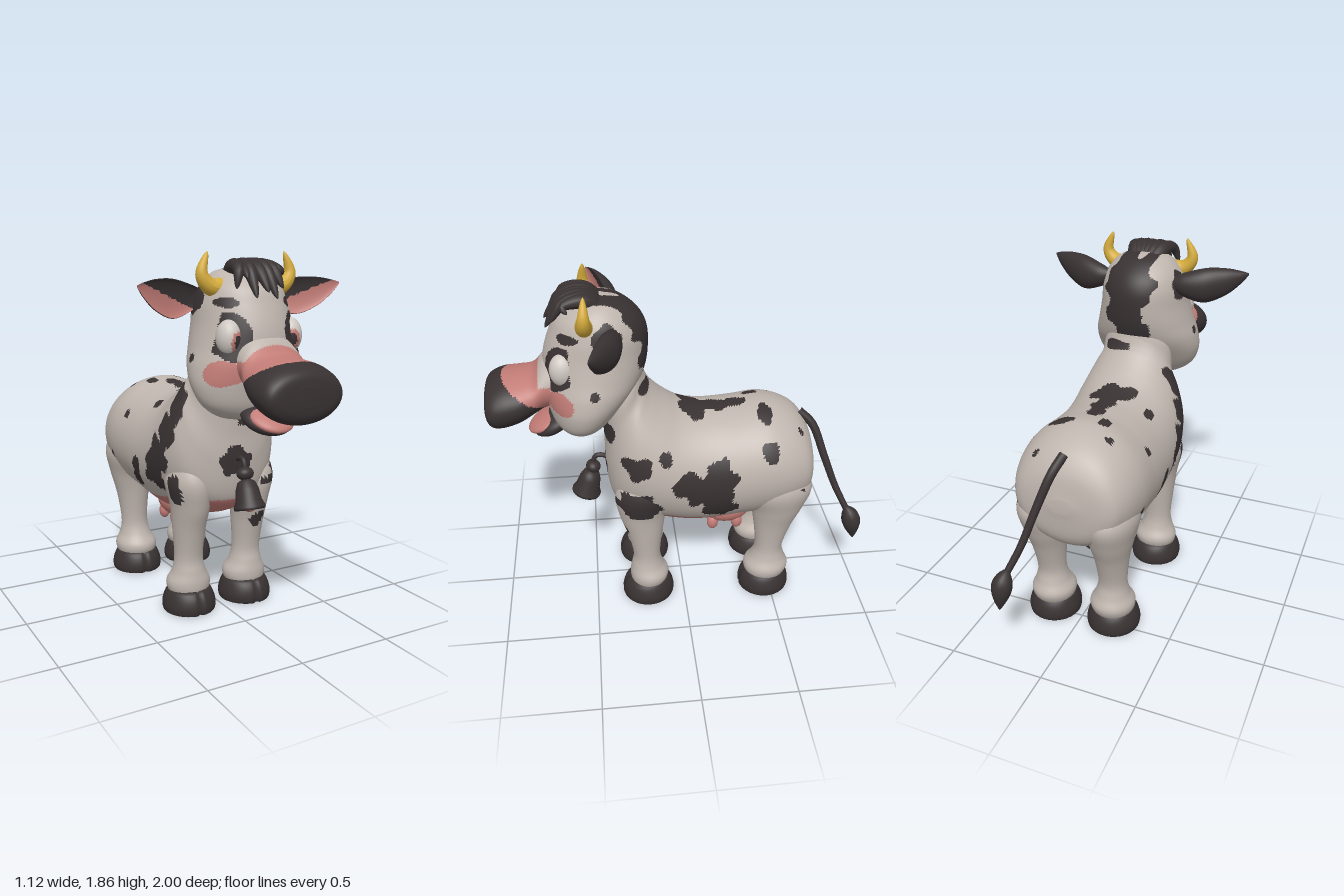
import * as THREE from 'three';

const mat = (name, color) => Object.assign(new THREE.MeshStandardMaterial({ color }), { name });
const V = (x, y, z) => new THREE.Vector3(x, y, z);

// Ellipse rings swept through sections [zA, yA, zB, yB, halfWidth, xCentre], capped at both ends
function loft(sections, rings, sides) {
  const a = new THREE.CatmullRomCurve3(sections.map(s => V(s[5] || 0, s[1], s[0])), false, 'catmullrom');
  const b = new THREE.CatmullRomCurve3(sections.map(s => V(s[4], s[3], s[2])), false, 'catmullrom');
  const pos = [], idx = [];
  for (let i = 0; i <= rings; i++) {
    const A = a.getPoint(i / rings), B = b.getPoint(i / rings);
    for (let j = 0; j < sides; j++) {
      const t = j / sides * Math.PI * 2, k = (1 + Math.sin(t)) / 2;
      pos.push(A.x + Math.cos(t) * B.x, A.y + (B.y - A.y) * k, A.z + (B.z - A.z) * k);
    }
  }
  for (let i = 0; i < rings; i++) for (let j = 0; j < sides; j++) {
    const p = i * sides + j, q = i * sides + (j + 1) % sides;
    idx.push(p, q, p + sides, q, q + sides, p + sides);
  }
  [0, rings].forEach((r, e) => {
    const s = sections[e ? sections.length - 1 : 0], c = pos.length / 3;
    pos.push(s[5] || 0, (s[1] + s[3]) / 2, (s[0] + s[2]) / 2);
    for (let j = 0; j < sides; j++) {
      const p = r * sides + j, q = r * sides + (j + 1) % sides;
      e ? idx.push(p, q, c) : idx.push(q, p, c);
    }
  });
  // turn the faces outward whichever way the sections run
  let vol = 0;
  const P = i => V(pos[3 * i], pos[3 * i + 1], pos[3 * i + 2]);
  for (let i = 0; i < idx.length; i += 3) vol += P(idx[i]).dot(P(idx[i + 1]).cross(P(idx[i + 2])));
  if (vol < 0) idx.reverse();
  const g = new THREE.BufferGeometry();
  g.setAttribute('position', new THREE.Float32BufferAttribute(pos, 3));
  g.setIndex(idx);
  g.computeVertexNormals();
  return g;
}

// Sorts triangles into material groups: rule(centre, normal) gives the material's index
function paint(g, rule) {
  const p = g.attributes.position, ix = g.index.array, bins = [[], [], []];
  const t = new THREE.Triangle(), c = V(), n = V();
  for (let i = 0; i < ix.length; i += 3) {
    t.setFromAttributeAndIndices(p, ix[i], ix[i + 1], ix[i + 2]);
    t.getMidpoint(c); t.getNormal(n);
    bins[rule(c, n)].push(ix[i], ix[i + 1], ix[i + 2]);
  }
  g.setIndex(bins.flat());
  let start = 0;
  bins.forEach((b, m) => { if (b.length) g.addGroup(start, b.length, m); start += b.length; });
  return g;
}

// Tube whose radius follows a rule
function taper(points, radius, seg = 20, sides = 14) {
  const path = new THREE.CatmullRomCurve3(points.map(p => V(...p)));
  const g = new THREE.TubeGeometry(path, seg, 1, sides), p = g.attributes.position, v = V();
  for (let i = 0; i < p.count; i++) {
    const t = Math.floor(i / (sides + 1)) / seg, c = path.getPointAt(t);
    v.fromBufferAttribute(p, i).sub(c).multiplyScalar(radius(t)).add(c);
    p.setXYZ(i, v.x, v.y, v.z);
  }
  g.computeVertexNormals();
  return g;
}

const ball = (x, y, z, rx, ry, rz, tilt = 0) =>
  new THREE.SphereGeometry(1, 32, 20).scale(rx, ry, rz).rotateX(tilt).translate(x, y, z);

// Coat markings as wobbly ellipses [u, v, ru, rv]
const hit = (list, u, v) => list.some(([a, b, ra, rb]) =>
  ((u - a) / ra) ** 2 + ((v - b) / rb) ** 2 < 1 + 0.25 * Math.sin(47 * u + 31 * v) + 0.2 * Math.sin(33 * u - 61 * v));
const LEFT = [[.25, .94, .075, .07], [.105, .995, .035, .04], [-.02, 1.1, .035, .03], [-.01, .83, .09, .08],
  [-.17, .87, .09, .1], [-.17, .7, .1, .1], [-.08, .78, .1, .08], [.245, .69, .11, .085], [-.44, 1, .042, .06],
  [.195, 1.31, .03, .03], [.39, 1.07, .035, .06], [-.62, 1.04, .018, .016], [-.62, .74, .02, .008]];
const RIGHT = [[.23, 1.12, .06, .1], [.2, .98, .08, .09], [.14, .84, .09, .1], [.08, .73, .09, .09],
  [.27, .68, .05, .08], [-.12, .72, .04, .07], [-.16, .64, .05, .04], [-.3, .98, .025, .025], [-.45, .72, .02, .02]];
const TOP = [[0, -.28, .045, .06], [0, -.17, .06, .08], [.02, -.06, .11, .07], [-.06, -.03, .06, .05], [.12, -.43, .06, .04],
  [-.09, -.38, .03, .045], [-.16, -.49, .02, .02], [-.21, -.08, .025, .035], [.17, -.62, .015, .015]];
const FRONT = [[0, .83, .09, .075]];

export function createModel() {
  const hide = mat('hide', 0xbfb5ae), dark = mat('darkCoat', 0x393233), pink = mat('pinkSkin', 0xc27c76);
  const yellow = mat('horn', 0xd4ab3c), white = mat('eyeWhite', 0xcfc8c2), black = mat('nostril', 0x1b1718);
  const coat = [hide, dark, pink], cow = new THREE.Group();
  cow.name = 'cow';
  const add = (name, geo, m, parent = cow) => {
    const mesh = new THREE.Mesh(geo, m);
    mesh.name = name;
    parent.add(mesh);
    return mesh;
  };

  // Barrel and neck in one sweep
  add('body', paint(loft([[-.722, .79, -.72, .86, .06], [-.695, .63, -.685, 1, .23], [-.62, .55, -.6, 1.1, .3],
    [-.48, .5, -.45, 1.155, .335], [-.28, .475, -.28, 1.14, .335], [-.08, .455, -.12, 1.135, .33],
    [.1, .48, 0, 1.16, .325], [.27, .53, .09, 1.22, .315], [.375, .62, .15, 1.28, .29], [.41, .8, .175, 1.32, .25],
    [.41, .98, .19, 1.36, .205], [.42, 1.12, .21, 1.42, .19], [.46, 1.2, .27, 1.5, .15]], 150, 110), ({ x, y, z }, n) => {
    const line = .575 + .015 * Math.sin(z * 14) - Math.max(0, -.2 - z) * .4;
    if (z > -.39 && y < line && z < .3 || z >= .3 && y < .62 && Math.abs(x) < .13) return 2;
    if (n.y > .62 && z < .08) return +hit(TOP, x, z);
    if (n.z > .7 && Math.abs(x) < .16 && y < 1) return +hit(FRONT, x, y);
    return +hit(x > 0 ? LEFT : RIGHT, z, y);
  }), coat);

  // Legs as [zBack, zFront, y, halfWidth, xCentre]
  const fore = [[.16, .3, .85, .05, .2], [.07, .37, .72, .11, .19], [.1, .355, .58, .098, .178], [.12, .315, .45, .085, .178],
    [.135, .285, .3, .076, .176], [.12, .295, .22, .09, .174], [.09, .305, .16, .118, .172], [.1, .3, .11, .11, .172], [.13, .27, .08, .08, .172]];
  const hind = [[-.6, -.45, .85, .06, .2], [-.7, -.32, .72, .13, .19], [-.665, -.37, .58, .115, .182], [-.61, -.395, .45, .09, .178],
    [-.567, -.41, .3, .076, .176], [-.58, -.39, .22, .09, .174], [-.605, -.353, .16, .118, .172], [-.59, -.36, .11, .11, .172], [-.56, -.4, .08, .08, .172]];
  for (const s of [1, -1]) for (const [kind, rows, mid] of [['front', fore, .206], ['rear', hind, -.468]]) {
    const leg = loft(rows.map(([a, b, y, w, x]) => [a, y, b, y, w, s * x]), 48, 32);
    add(kind + 'Leg', paint(leg, ({ x, y, z }, n) => {
      if (kind === 'front' && s > 0 && n.z > 0 && hit([[.185, .47, .04, .045]], x, y)) return 1;
      return +(n.x * s > -.2 && hit(s > 0 ? LEFT : RIGHT, z, y));
    }), coat);
    // Hoof with a cleft pressed into its front
    const hoof = loft([[.13, 0, .13], [.142, .006, .138], [.146, .04, .142], [.135, .085, .13], [.11, .118, .11], [.07, .125, .07]]
      .map(([r, y, w]) => [mid - r, y, mid + r, y, w, s * .172]), 15, 48);
    const p = hoof.attributes.position;
    for (let i = 0; i < p.count; i++)
      if (p.getZ(i) > mid + .05 && Math.abs(p.getX(i) - s * .172) < .008) p.setZ(i, p.getZ(i) - .016);
    hoof.computeVertexNormals();
    add(kind + 'Hoof', hoof, dark);
  }

  // Udder and teats
  add('udder', ball(0, .455, -.26, .105, .095, .145), pink);
  for (const x of [-.055, .055]) for (const z of [-.18, -.32])
    add('teat', ball(x, .375, z, .03, .045, .032), pink);

  // Skull and cheeks
  const head = new THREE.Group();
  head.name = 'head';
  cow.add(head);
  add('skull', paint(loft([[.46, 1.068, .55, 1.068, .05], [.42, 1.09, .62, 1.09, .17], [.36, 1.15, .665, 1.15, .255],
    [.29, 1.24, .69, 1.24, .293], [.22, 1.33, .705, 1.33, .29], [.18, 1.42, .7, 1.42, .264], [.165, 1.52, .685, 1.52, .24],
    [.17, 1.62, .65, 1.62, .225], [.21, 1.7, .61, 1.7, .195], [.29, 1.765, .52, 1.765, .13], [.37, 1.785, .45, 1.785, .04]], 110, 120),
  ({ x, y, z }) => {
    const ax = Math.abs(x);
    if (z > .56 && ((ax - .17) / .083) ** 2 + ((y - 1.475) / .112) ** 2 < 1) return 1;
    if (z > .5 && hit([[.16, 1.63, .042, .022]], ax, y)) return 1;
    if (ax > .14 && ((z - .615) / .068) ** 2 + ((y - 1.31) / .06) ** 2 < 1) return 2;
    if (ax > .2 && hit([[.44, 1.37, .022, .022]], z, y)) return 1;
    if (ax > .14 && hit([[.37, 1.63, .07, .07]], z, y)) return 1;
    if (z < .42 && y > 1.3 && hit([[.02, 1.66, .13, .15], [.04, 1.5, .11, .12], [-.02, 1.4, .08, .09]], x, y)) return 1;
    return 0;
  }), coat, head);

  // Muzzle: dark nose pad with a pink saddle
  add('muzzle', paint(loft([[.52, 1.2, .52, 1.5, .17], [.62, 1.2, .62, 1.51, .165], [.69, 1.205, .69, 1.475, .165],
    [.75, 1.18, .75, 1.41, .185], [.82, 1.14, .82, 1.395, .207], [.9, 1.113, .9, 1.388, .215], [.96, 1.115, .96, 1.365, .205],
    [.99, 1.15, .99, 1.335, .165], [1, 1.2, 1, 1.285, .07]], 72, 72), ({ y, z }) =>
    z > .92 - 1.45 * (1.395 - y) && z > .66 ? 1 : z > .72 || (z > .66 && y < 1.37) ? 2 : 0), coat, head);
  for (const s of [1, -1]) add('nostril', ball(s * .112, 1.27, .982, .024, .029, .012), black, head);

  // Open mouth
  add('lowerJaw', ball(0, 1.1, .665, .13, .055, .125, .5), dark, head);
  add('tongue', ball(0, 1.105, .7, .112, .035, .115, .5), pink, head);

  for (const s of [1, -1]) {
    // Eyes looking forward
    add('eye', paint(ball(s * .167, 1.47, .592, .06, .085, .066), ({ x, y, z }) => {
      const d = ((s * x - .15) / .036) ** 2 + ((y - 1.452) / .052) ** 2;
      return z < .6 || d > 1 ? 0 : d > .36 ? 2 : 1;
    }), [white, dark, pink], head);

    // Horns
    add('horn', taper([[s * .13, 1.69, .47], [s * .2, 1.7, .475], [s * .243, 1.755, .475], [s * .212, 1.86, .47]],
      t => .05 * Math.pow(1.002 - t, .6), 28, 20), yellow, head);

    // Cupped leaf-shaped ears
    const ear = loft([[.17, 1.62, .17, 1.68, .03, -.35], [.25, 1.575, .25, 1.71, .06, -.36], [.35, 1.55, .35, 1.735, .07, -.385],
      [.45, 1.59, .45, 1.735, .052, -.42], [.52, 1.65, .52, 1.722, .028, -.445], [.56, 1.7, .56, 1.71, .004, -.46]], 40, 36).rotateY(Math.PI / 2);
    const p = ear.attributes.position;
    for (let i = 0; i < p.count; i++) {
      const zc = .35 + Math.max(0, p.getX(i) - .2) * .31, dz = p.getZ(i) - zc;
      if (dz > 0) p.setZ(i, zc - dz * .35);
    }
    ear.computeVertexNormals();
    const earMesh = add('ear', paint(ear, ({ x, y }, n) => n.z > .25 && x > .22 && y < 1.6 + (x - .24) * .42 ? 2 : 1), coat, head);
    earMesh.scale.x = s;
  }

  // Forelock
  for (const [x, y, z] of [[-.13, 1.69, .6], [-.06, 1.65, .665], [0, 1.675, .67], [.05, 1.645, .665], [.1, 1.69, .635], [.15, 1.75, .55], [-.09, 1.74, .63]])
    add('forelock', taper([[x * .3, 1.72, .4], [x * .55, 1.785, .47], [x * .8, 1.775, .57], [x, y, z]],
      t => .052 * Math.pow(1.002 - t, .55)), dark, head);

  // Tail and its tuft
  add('tail', taper([[.01, 1.07, -.64], [.04, 1, -.715], [.1, .82, -.785], [.15, .65, -.85], [.21, .5, -.925]], t => .024 - .007 * t, 36), dark);
  add('tailTuft', taper([[.2, .54, -.91], [.215, .47, -.94], [.22, .4, -.955], [.225, .33, -.965]],
    t => .004 + .048 * Math.sin(Math.PI * Math.pow(t, .8))), dark);

  // Bell hanging from the chest
  const bell = new THREE.Group();
  bell.name = 'bell';
  const profile = [[0, .012], [.066, .012], [.078, 0], [.08, .014], [.066, .045], [.058, .1], [.045, .135], [.02, .15], [0, .152]];
  add('bellCup', new THREE.LatheGeometry(profile.map(p => new THREE.Vector2(...p)), 40), dark, bell);
  add('bellKnob', ball(0, .178, 0, .045, .034, .04), dark, bell);
  add('clapper', ball(0, .008, 0, .03, .022, .03), pink, bell);
  bell.position.set(0, .61, .53);
  bell.rotation.x = -.28;
  cow.add(bell);
  add('bellStrap', taper([[0, .79, .485], [0, .845, .465], [0, .85, .43], [0, .83, .39]], () => .013), dark);
  return cow;
}
